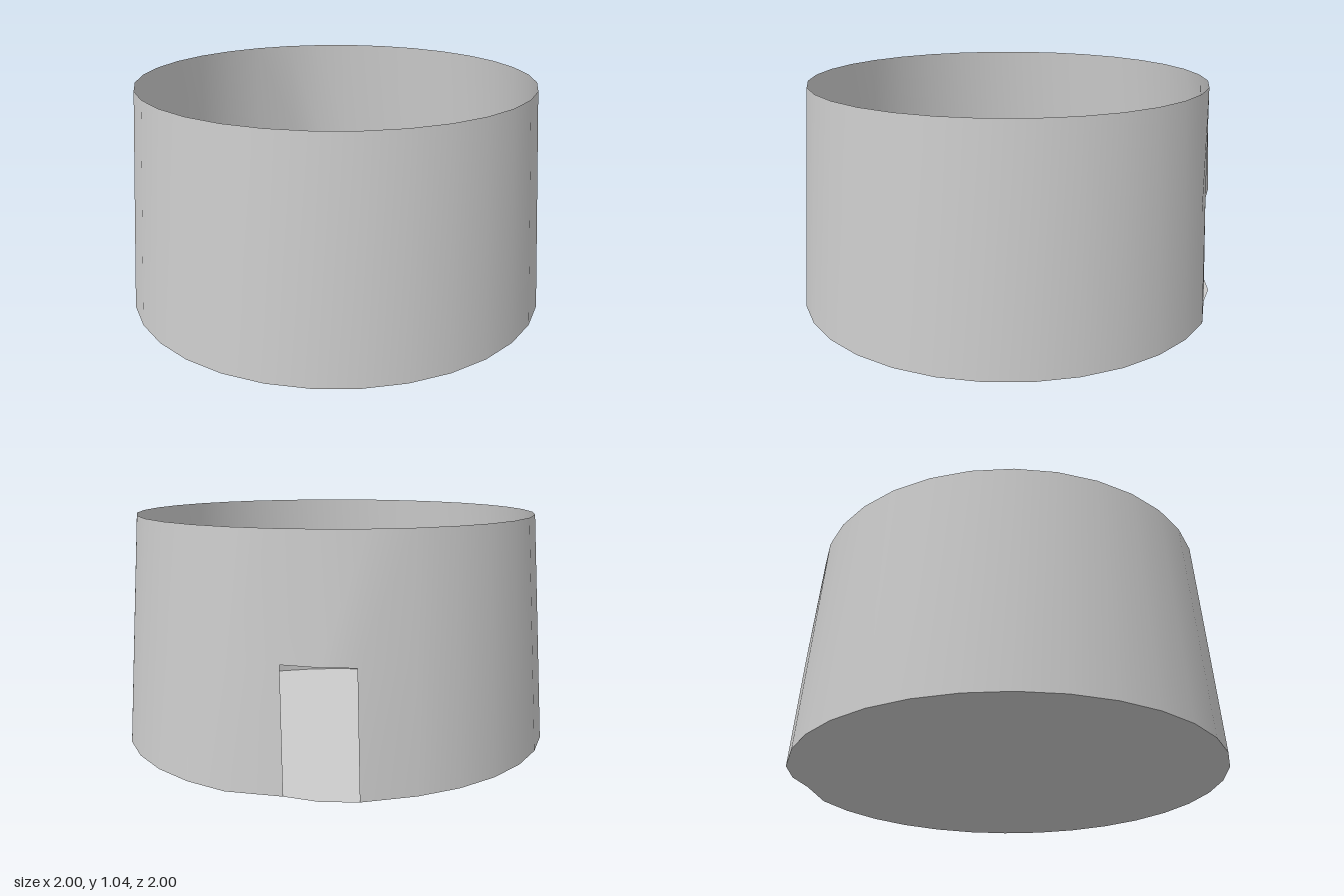
import * as THREE from 'three';

const SIDES = 32;
const RINGS = [
  { y: 0, r: 1 },
  { y: 0.525, r: 0.965 },
  { y: 1.045, r: 0.93 },
];
const DOOR_FIRST = 1; // doorway spans sides 1 and 2, counted from the back towards +x
const DOOR_LAST = 3;

// Point on a ring; the doorway's two jambs are drawn closer together in x
function ringPoint(level, i) {
  const { y, r } = RINGS[level];
  const a = (i / SIDES) * Math.PI * 2;
  let x = r * Math.sin(a);
  if (level < 2 && i === DOOR_FIRST) x = 0.235;
  if (level < 2 && i === DOOR_LAST) x = 0.5;
  return [x, y, -r * Math.cos(a)];
}

function makeMesh(name, positions, index, material) {
  const geometry = new THREE.BufferGeometry();
  geometry.setAttribute('position', new THREE.Float32BufferAttribute(positions, 3));
  geometry.setIndex(index);
  geometry.computeVertexNormals();
  const mesh = new THREE.Mesh(geometry, material);
  mesh.name = name;
  return mesh;
}

export function createModel() {
  const group = new THREE.Group();
  group.name = 'roundEnclosure';
  const material = new THREE.MeshStandardMaterial({ color: 0xcccccc, side: THREE.DoubleSide });

  // Tapered thin wall, open at the top, with a doorway in the lower band
  const wallPoints = [];
  const wallFaces = [];
  for (let level = 0; level < RINGS.length; level++) {
    for (let i = 0; i < SIDES; i++) wallPoints.push(...ringPoint(level, i));
  }
  for (let level = 0; level < RINGS.length - 1; level++) {
    for (let i = 0; i < SIDES; i++) {
      if (level === 0 && i >= DOOR_FIRST && i < DOOR_LAST) continue;
      const a = level * SIDES + i;
      const b = level * SIDES + ((i + 1) % SIDES);
      wallFaces.push(b, a, a + SIDES, b, a + SIDES, b + SIDES);
    }
  }
  group.add(makeMesh('wall', wallPoints, wallFaces, material));

  // Flat floor following the base outline
  const floorPoints = [0, 0, 0];
  const floorFaces = [];
  for (let i = 0; i < SIDES; i++) {
    floorPoints.push(...ringPoint(0, i));
    floorFaces.push(0, i + 1, ((i + 1) % SIDES) + 1);
  }
  group.add(makeMesh('floor', floorPoints, floorFaces, material));

  return group;
}
